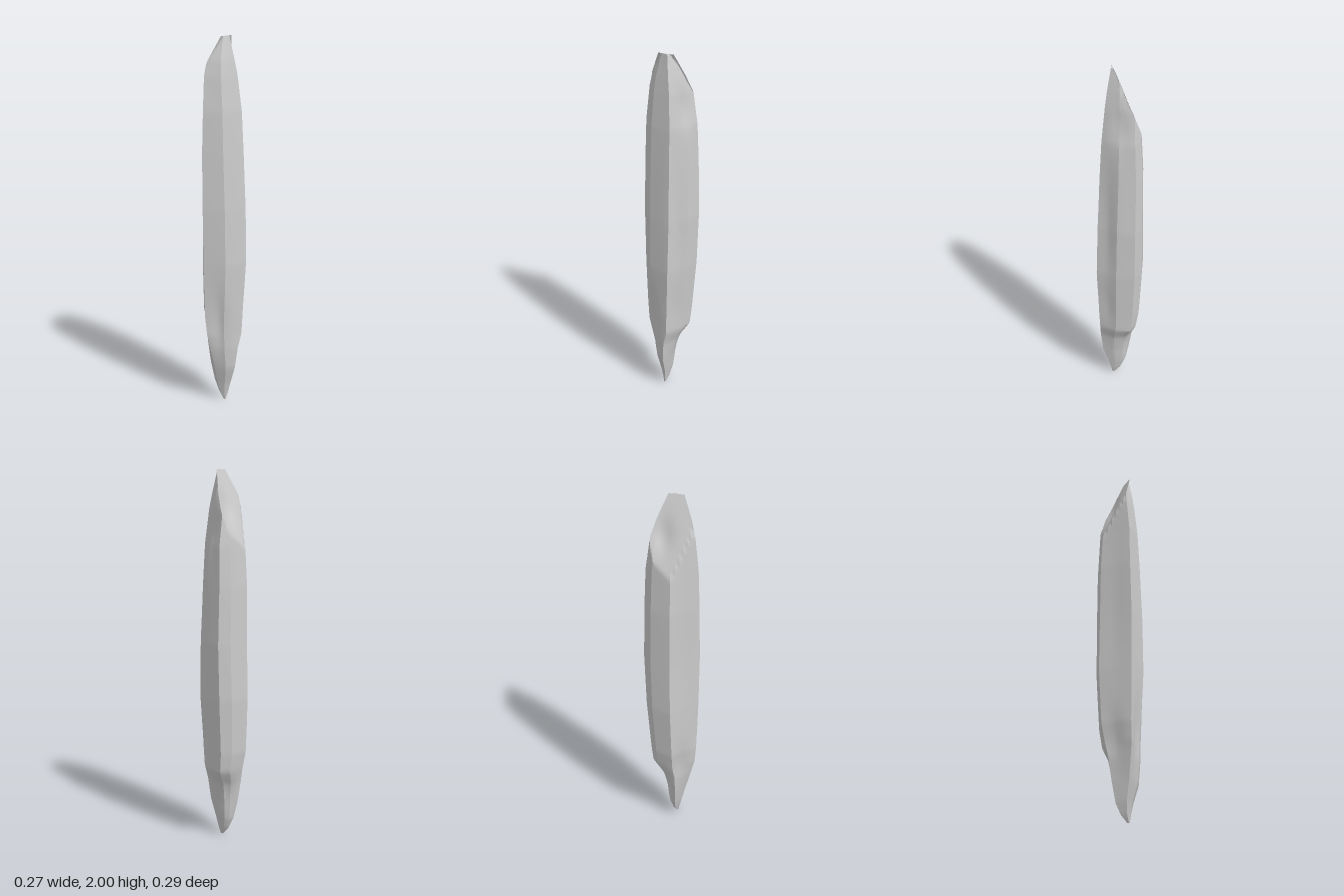
import * as THREE from 'three';
import { toCreasedNormals } from 'three/addons/utils/BufferGeometryUtils.js';

// Ridge lines of the shard in plan (x, z), from the right-hand side round the front
const RIDGES = [[-0.135, 0.01], [-0.01, 0.145], [0.09, 0.08], [0.135, -0.04], [0.045, -0.12], [-0.05, -0.145], [-0.1, -0.1]];

// Extent of the body at each height: y, xMin, xMax, zMin, zMax
const EXTENTS = [
  [0, 0.02, 0.035, 0.015, 0.025],
  [0.04, -0.015, 0.045, 0, 0.035],
  [0.1, -0.045, 0.06, -0.015, 0.05],
  [0.2, -0.07, 0.092, -0.03, 0.075],
  [0.32, -0.093, 0.106, -0.062, 0.108],
  [0.4, -0.108, 0.114, -0.105, 0.128],
  [0.5, -0.125, 0.12, -0.113, 0.135],
  [0.8, -0.138, 0.133, -0.135, 0.143],
  [1.1, -0.134, 0.127, -0.145, 0.147],
  [1.4, -0.132, 0.112, -0.138, 0.143],
  [1.62, -0.12, 0.098, -0.13, 0.135],
  [1.8, -0.115, 0.077, -0.105, 0.118],
  [1.88, -0.1, 0.064, -0.08, 0.1],
  [2, -0.05, 0.04, -0.03, 0.05],
];

// Flake scars: centre x, y, z, plan radius, half height, share of radius removed
const SCARS = [
  [0.06, 0.42, 0.1, 0.05, 0.2, 0.2],
  [-0.085, 0.4, 0.07, 0.045, 0.14, 0.16],
  [-0.05, 0.25, -0.05, 0.05, 0.1, 0.18],
  [0.1, 0.55, -0.08, 0.04, 0.14, 0.1],
  [0.03, 1.75, -0.11, 0.05, 0.13, 0.18],
  [0.095, 1.1, -0.085, 0.045, 0.4, 0.1],
  [-0.08, 1.15, 0.075, 0.05, 0.4, 0.05],
];

const STEPS = 6; // points along each facet
const LEVELS = 100;
const bump = (d2) => Math.exp(-d2);

function extentAt(y) {
  let i = 0;
  while (i < EXTENTS.length - 2 && EXTENTS[i + 1][0] < y) i++;
  const a = EXTENTS[i], b = EXTENTS[i + 1];
  const t = (y - a[0]) / (b[0] - a[0]);
  return a.map((v, k) => THREE.MathUtils.lerp(v, b[k], t));
}

function ringAt(y) {
  const [, x0, x1, z0, z1] = extentAt(y);
  const cx = (x0 + x1) / 2, cz = (z0 + z1) / 2;
  const ring = [];
  RIDGES.forEach((p, i) => {
    const q = RIDGES[(i + 1) % RIDGES.length];
    for (let s = 0; s < STEPS; s++) {
      const t = s / STEPS;
      let x = cx + THREE.MathUtils.lerp(p[0], q[0], t) / 0.135 * (x1 - x0) / 2;
      let z = cz + THREE.MathUtils.lerp(p[1], q[1], t) / 0.145 * (z1 - z0) / 2;
      // hollow out the scars towards the axis
      let keep = 1;
      for (const [sx, sy, sz, r, h, depth] of SCARS) {
        keep -= depth * bump(((x - sx) ** 2 + (z - sz) ** 2) / r ** 2 + ((y - sy) / h) ** 2);
      }
      x = cx + (x - cx) * keep;
      z = cz + (z - cz) * keep;
      // slanting, slightly dished facet that cuts the top to an edge
      const dish = 0.015 * bump(((z + 0.04) / 0.045) ** 2 + ((y - 1.8) / 0.08) ** 2);
      const cut = -0.12 + (y - 1.6) * 0.37 + dish;
      if (y > 1.55) x = Math.max(x, Math.min(cut, x1));
      ring.push([x, y, z]);
    }
  });
  return ring;
}

function shardGeometry() {
  const count = RIDGES.length * STEPS;
  const points = [], index = [];
  for (let i = 0; i <= LEVELS; i++) points.push(...ringAt(2 * i / LEVELS));
  for (let i = 0; i < LEVELS; i++) {
    for (let j = 0; j < count; j++) {
      const a = i * count + j, b = i * count + (j + 1) % count;
      index.push(a, b, a + count, b, b + count, a + count);
    }
  }
  // close both ends with small fans
  for (const level of [0, LEVELS]) {
    const start = level * count, mid = points.length;
    const ring = points.slice(start, start + count);
    points.push([0, 1, 2].map((k) => ring.reduce((sum, p) => sum + p[k], 0) / count));
    for (let j = 0; j < count; j++) {
      const a = start + j, b = start + (j + 1) % count;
      if (level) index.push(a, b, mid);
      else index.push(b, a, mid);
    }
  }
  const geometry = new THREE.BufferGeometry();
  geometry.setAttribute('position', new THREE.Float32BufferAttribute(points.flat(), 3));
  geometry.setIndex(index);
  return toCreasedNormals(geometry, 0.4);
}

export function createModel() {
  const model = new THREE.Group();
  model.name = 'stoneShard';
  const body = new THREE.Mesh(shardGeometry(), new THREE.MeshStandardMaterial({ color: 0xcccccc }));
  body.name = 'shardBody';
  model.add(body);
  return model;
}
